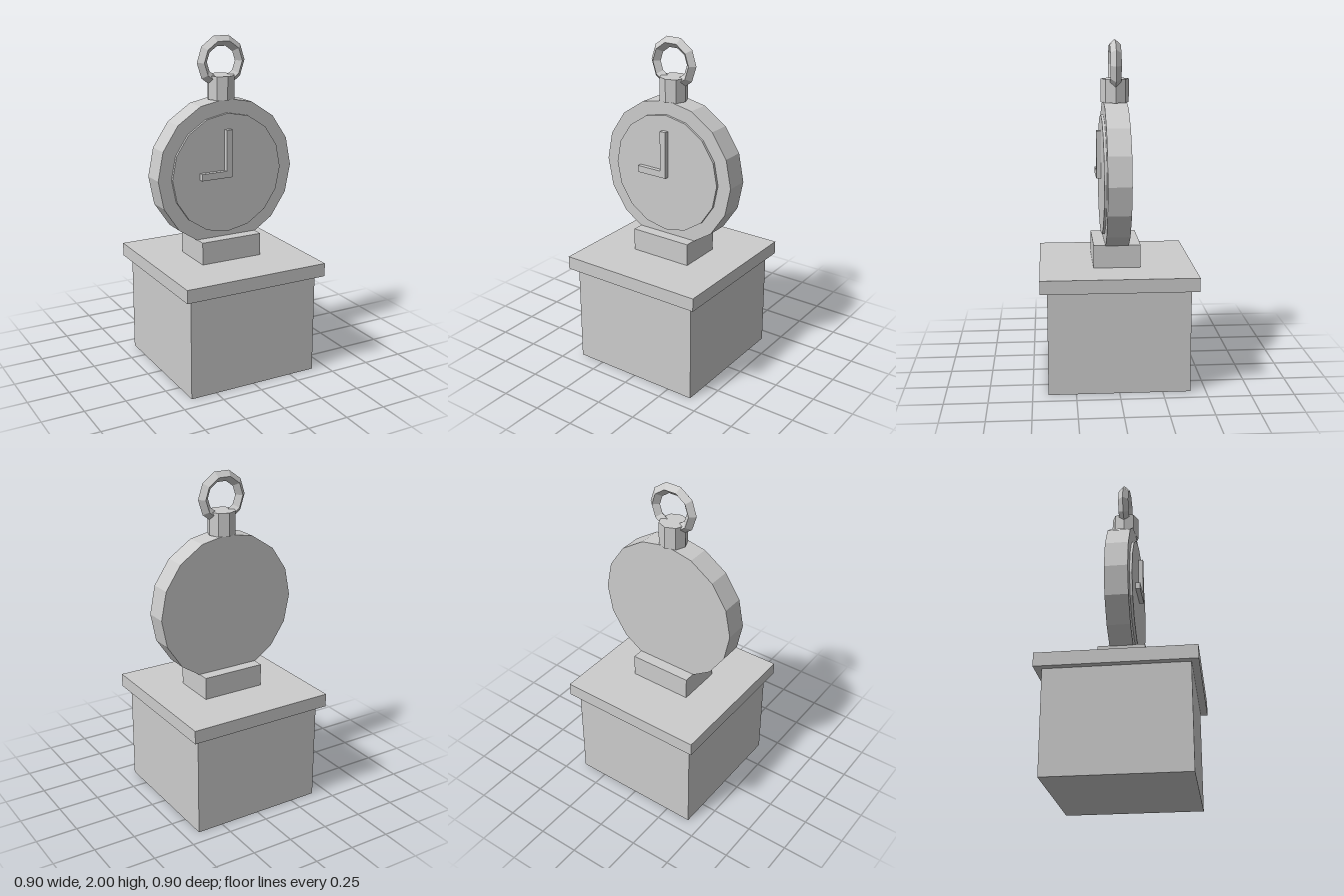
import * as THREE from 'three';

export function createModel() {
  const model = new THREE.Group();
  model.name = 'watchTrophy';
  const grey = new THREE.MeshStandardMaterial({ color: 0xcccccc, flatShading: true });
  grey.name = 'grey';

  const add = (name, geometry, x = 0, y = 0, z = 0) => {
    const mesh = new THREE.Mesh(geometry, grey);
    mesh.name = name;
    mesh.position.set(x, y, z);
    model.add(mesh);
    return mesh;
  };
  // Box given by its lower and upper corners
  const box = (name, [x0, y0, z0], [x1, y1, z1]) =>
    add(name, new THREE.BoxGeometry(x1 - x0, y1 - y0, z1 - z0),
      (x0 + x1) / 2, (y0 + y1) / 2, (z0 + z1) / 2);
  // Sixteen-sided disc facing +z
  const disc = (name, radius, z0, z1) =>
    add(name, new THREE.CylinderGeometry(radius, radius, z1 - z0, 16).rotateX(Math.PI / 2),
      0, 1.21, (z0 + z1) / 2);

  // Pedestal
  box('pedestal', [-0.41, 0, -0.41], [0.41, 0.61, 0.41]);
  box('pedestalTop', [-0.452, 0.61, -0.452], [0.452, 0.69, 0.452]);
  box('watchStand', [-0.194, 0.69, -0.137], [0.194, 0.825, 0.137]);

  // Watch case, dial and hands
  disc('watchCase', 0.439, -0.068, 0.068);
  disc('dial', 0.356, 0.06, 0.083);
  box('minuteHand', [-0.02, 1.19, 0.075], [0.018, 1.472, 0.11]);
  box('hourHand', [-0.18, 1.19, 0.075], [-0.02, 1.23, 0.11]);

  // Crown and hanging ring with a diamond section
  add('crown', new THREE.CylinderGeometry(0.082, 0.082, 0.137, 8), 0, 1.707, 0);
  add('hangingRing', new THREE.TorusGeometry(0.123, 0.032, 4, 10), 0, 1.853, 0);

  return model;
}
